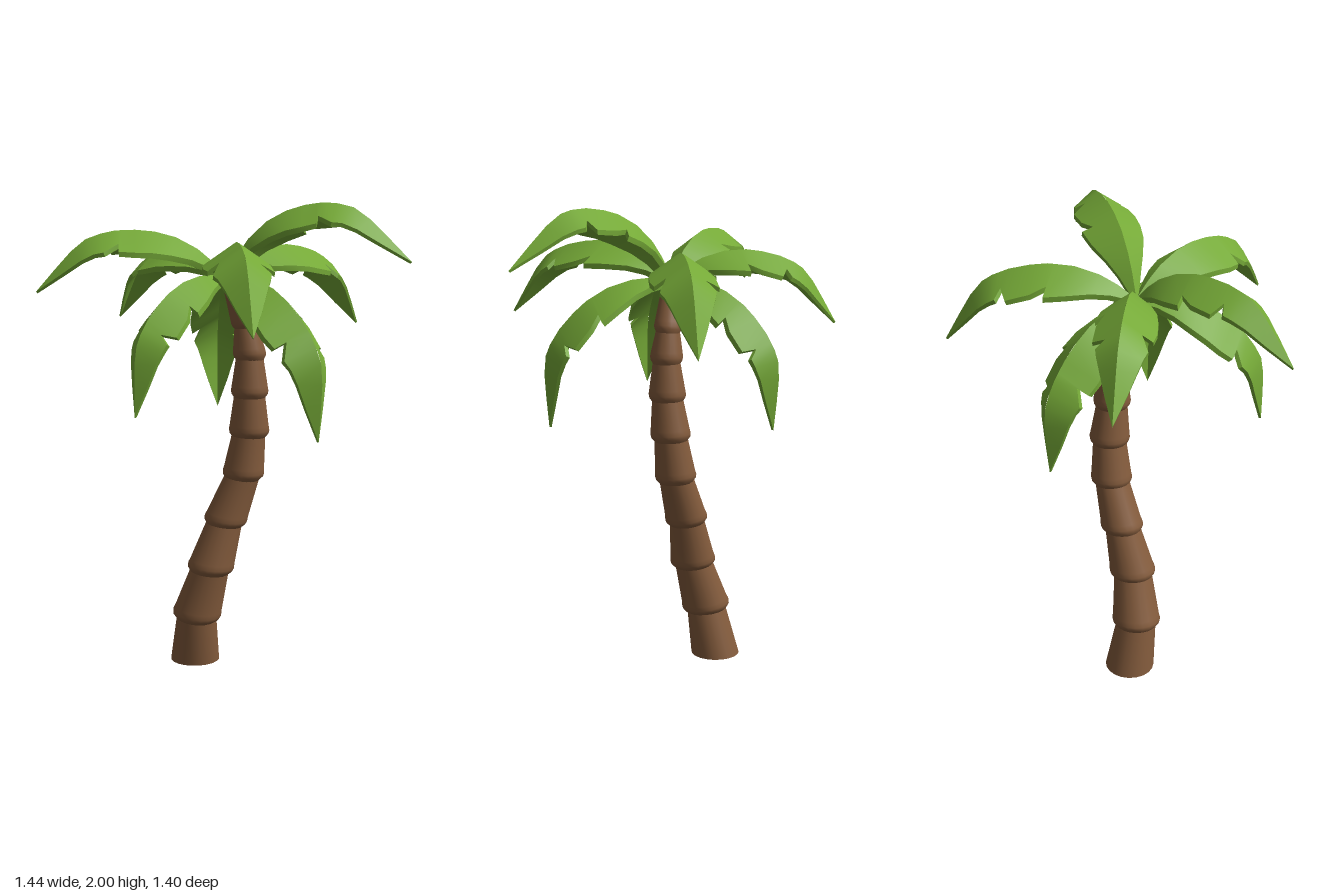
import * as THREE from 'three';
import { toCreasedNormals } from 'three/addons/utils/BufferGeometryUtils.js';

const trunkBrown = new THREE.MeshStandardMaterial({ color: 0x835b3c });
trunkBrown.name = 'trunk brown';
const leafGreen = new THREE.MeshStandardMaterial({ color: 0x75a937 });
leafGreen.name = 'leaf green';

// Trunk joints: centre x, y, z and rim radius
const JOINTS = [
  [-0.2, 0, 0.093, 0.108], [-0.163, 0.22, 0.12, 0.107], [-0.097, 0.44, 0.1, 0.101],
  [-0.055, 0.65, 0.05, 0.093], [0.005, 0.855, 0, 0.09], [0.03, 1.04, -0.01, 0.087],
  [0.042, 1.21, 0, 0.08], [0.045, 1.37, 0.003, 0.07], [0.035, 1.5, 0.015, 0.06],
  [0.01, 1.66, 0.07, 0.05],
];

// One trunk segment: a flared rim at the bottom, tapering to the next joint
function trunkSegment(i) {
  const [x, y, z, r] = JOINTS[i];
  const next = JOINTS[i + 1];
  const base = new THREE.Vector3(x, y, z);
  const dir = new THREE.Vector3(next[0], next[1], next[2]).sub(base);
  const len = dir.length();
  const top = next[3] * 0.81;
  const profile = i === 0
    ? [[0, 0], [r, 0], [top, 1], [0, 1]]
    : [[0, -0.022], [r * 0.81, -0.022], [r * 0.97, -0.004], [r, 0.01], [r * 0.96, 0.03], [top, len], [0, len]];
  const geo = new THREE.LatheGeometry(profile.map((p) => new THREE.Vector2(...p)), 20);
  const m = new THREE.Matrix4();
  if (i === 0) {
    // the foot is sheared so that it stands flat
    m.makeBasis(new THREE.Vector3(1, 0, 0), dir, new THREE.Vector3(0, 0, 1));
  } else {
    // the rims tilt a little, the rest of the lean is sheared
    const up = dir.clone().divideScalar(len);
    const tilt = new THREE.Vector3(up.x * 0.5, up.y, up.z * 0.25).normalize();
    const q = new THREE.Quaternion().setFromUnitVectors(new THREE.Vector3(0, 1, 0), tilt);
    m.makeBasis(new THREE.Vector3(1, 0, 0).applyQuaternion(q), up, new THREE.Vector3(0, 0, 1).applyQuaternion(q));
  }
  geo.applyMatrix4(m.setPosition(base));
  const mesh = new THREE.Mesh(toCreasedNormals(geo, 0.7), trunkBrown);
  mesh.name = 'trunkSegment' + (i + 1);
  return mesh;
}

// Leaf outlines: position on the midrib, position of the edge point, half width
const EDGE_A = [
  [0, 0, 0.015], [0.07, 0.07, 0.06], [0.14, 0.14, 0.1], [0.25, 0.25, 0.145], [0.34, 0.37, 0.162],
  [0.37, 0.36, 0.11], [0.46, 0.46, 0.145], [0.57, 0.6, 0.148], [0.62, 0.62, 0.08],
  [0.66, 0.67, 0.125], [0.72, 0.73, 0.115], [0.8, 0.8, 0.092], [0.89, 0.89, 0.055], [1, 1, 0],
];
const EDGE_B = [
  [0, 0, 0.015], [0.07, 0.07, 0.06], [0.14, 0.14, 0.1], [0.25, 0.25, 0.145], [0.36, 0.36, 0.162],
  [0.46, 0.48, 0.167], [0.53, 0.57, 0.155], [0.57, 0.56, 0.1], [0.64, 0.66, 0.138],
  [0.72, 0.73, 0.12], [0.8, 0.8, 0.097], [0.89, 0.89, 0.058], [1, 1, 0],
];

// Midrib arch: position along the leaf and height
const ARCH = [[0, 0], [0.07, 0.09], [0.14, 0.158], [0.25, 0.227], [0.4, 0.278], [0.56, 0.285], [0.7, 0.265], [0.8, 0.195], [0.9, 0.1], [1, 0]];
function archHeight(s) {
  const i = Math.min(Math.max(ARCH.findIndex((p) => p[0] >= s), 1), ARCH.length - 1);
  const [s0, h0] = ARCH[i - 1], [s1, h1] = ARCH[i];
  return h0 + (h1 - h0) * (s - s0) / (s1 - s0);
}

const CROWN = new THREE.Vector3(0, 1.7, 0.1);
// Leaves: tip x, y, z, arch factor, whether the two edges are swapped
const LEAVES = [
  [0.72, 1.77, -0.2, 1.19, false], [0.62, 1.52, 0.63, 1, false],
  [0, 1.17, 0.63, 1, false], [-0.5, 1.645, 0.7, 1, true],
  [-0.72, 1.5, 0.04, 1, true], [-0.36, 1.09, -0.23, 1, true],
  [0.08, 1.47, -0.7, 1, false], [0.53, 1.07, 0.14, 1, false],
];

// Arched leaf folded along its midrib, with thickness and notched edges
function leaf([x, y, z, arch, swap]) {
  const u = new THREE.Vector3(x, y, z).sub(CROWN);
  const L = u.length();
  u.normalize();
  const left = new THREE.Vector3(0, 1, 0).cross(u).normalize();
  const v = new THREE.Vector3().crossVectors(u, left);

  // point on the leaf: s along, w sideways, t below the top surface
  const at = (s, w, t) => {
    const a = Math.max(s - 0.06, 0), b = Math.min(s + 0.06, 1);
    const slope = arch * (archHeight(b) - archHeight(a)) / (b - a);
    const n = v.clone().addScaledVector(u, -slope).normalize();
    return CROWN.clone()
      .addScaledVector(u, s * L)
      .addScaledVector(v, arch * archHeight(s) * L)
      .addScaledVector(left, w * L)
      .addScaledVector(n, -Math.abs(w) * L * 0.68 - t);
  };

  const pos = [];
  const quad = (a, b, c, d, flip) => {
    const order = flip ? [a, c, b, a, d, c] : [a, b, c, a, c, d];
    order.forEach((p) => pos.push(p.x, p.y, p.z));
  };
  for (const side of [1, -1]) {
    const edge = (side > 0) !== swap ? EDGE_A : EDGE_B;
    const rows = edge.map(([sMid, sEdge, w]) => {
      const t = 0.024 * (1 - 0.6 * sMid * sMid);
      return {
        mid: at(sMid, 0, 0), out: at(sEdge, side * w, 0),
        midLow: at(sMid, 0, t), outLow: at(sEdge, side * w, t),
      };
    });
    for (let i = 0; i < rows.length - 1; i++) {
      const a = rows[i], b = rows[i + 1], flip = side < 0;
      quad(a.mid, b.mid, b.out, a.out, flip);
      quad(a.midLow, b.midLow, b.outLow, a.outLow, !flip);
      quad(a.out, b.out, b.outLow, a.outLow, flip);
    }
    // close the stem end
    quad(rows[0].mid, rows[0].out, rows[0].outLow, rows[0].midLow, side < 0);
  }
  const geo = new THREE.BufferGeometry();
  geo.setAttribute('position', new THREE.Float32BufferAttribute(pos, 3));
  return new THREE.Mesh(toCreasedNormals(geo, 0.6), leafGreen);
}

export function createModel() {
  const model = new THREE.Group();
  model.name = 'palmTree';

  const trunk = new THREE.Group();
  trunk.name = 'trunk';
  for (let i = 0; i < JOINTS.length - 1; i++) trunk.add(trunkSegment(i));

  const crown = new THREE.Group();
  crown.name = 'crown';
  LEAVES.forEach((spec, i) => {
    const mesh = leaf(spec);
    mesh.name = 'leaf' + (i + 1);
    crown.add(mesh);
  });

  model.add(trunk, crown);
  return model;
}
